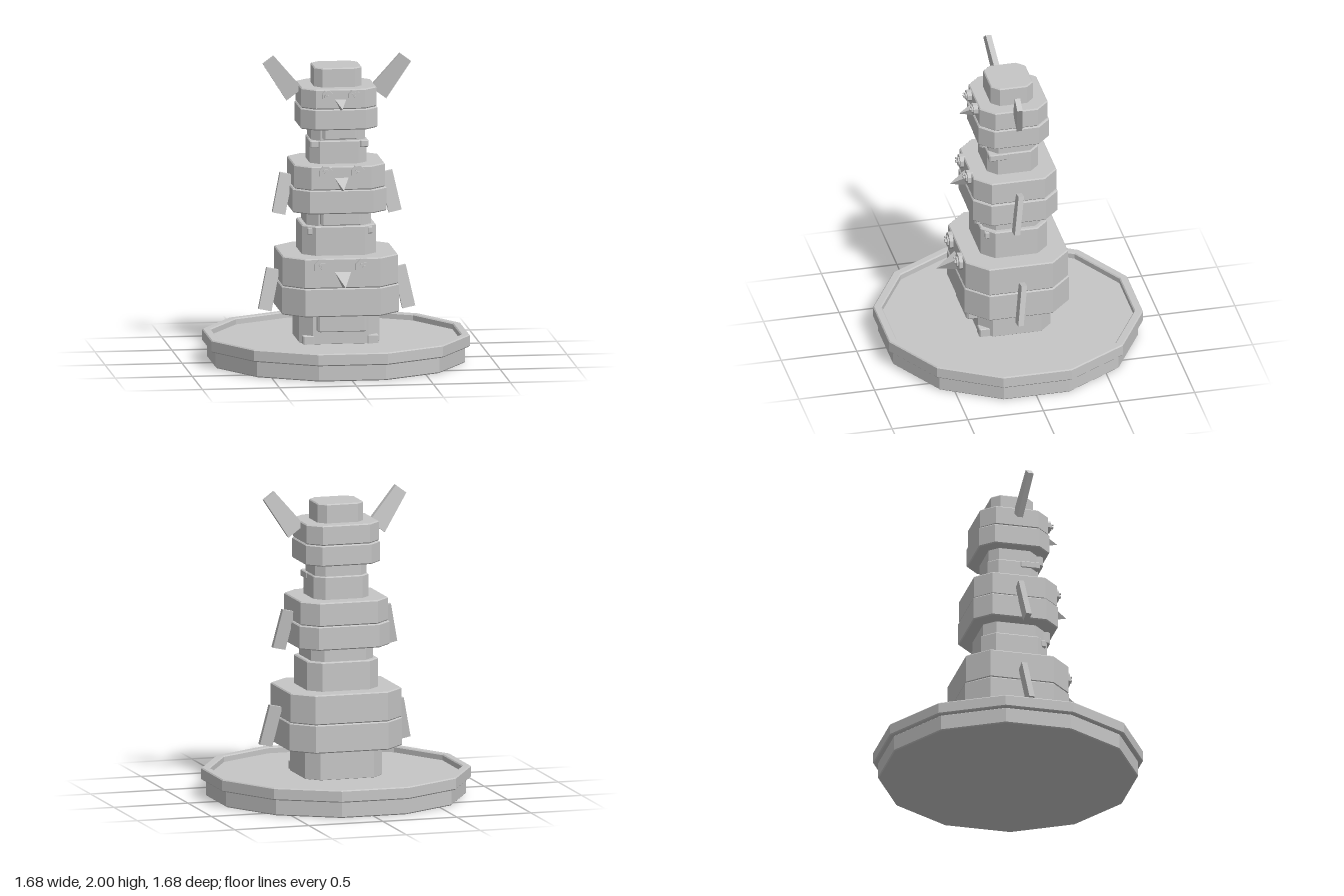
import * as THREE from 'three';

const stone = new THREE.MeshStandardMaterial({ color: 0xc6c6c6 });
stone.name = 'stone grey';

function add(parent, name, geometry) {
  const mesh = new THREE.Mesh(geometry, stone);
  mesh.name = name;
  parent.add(mesh);
  return mesh;
}

// Upright prism from y0 to y1 with a small bevel; points are the outer outline
function prism(shape, y0, y1, bevel = 0.007) {
  const g = new THREE.ExtrudeGeometry(shape, {
    depth: y1 - y0 - 2 * bevel, bevelEnabled: true, bevelSize: bevel,
    bevelThickness: bevel, bevelOffset: -bevel, bevelSegments: 1,
  });
  return g.rotateX(-Math.PI / 2).translate(0, y0 + bevel, 0);
}

// Rectangle with cut corners
function octagon(x, z, c) {
  return new THREE.Shape([
    [x, z - c], [x - c, z], [c - x, z], [-x, z - c],
    [-x, c - z], [c - x, -z], [x - c, -z], [x, c - z],
  ].map(([a, b]) => new THREE.Vector2(a, b)));
}

// Twelve-sided outline with flat sides on the axes
function dodecagon(apothem) {
  const r = apothem / Math.cos(Math.PI / 12);
  return Array.from({ length: 12 }, (_, i) => {
    const a = (i + 0.5) * Math.PI / 6;
    return new THREE.Vector2(r * Math.cos(a), r * Math.sin(a));
  });
}

function block(parent, name, x, z, c, y0, y1) {
  return add(parent, name, prism(octagon(x, z, c), y0, y1));
}

function box(parent, name, [x0, x1], [y0, y1], [z0, z1], c = 0.008) {
  const mesh = add(parent, name, prism(octagon((x1 - x0) / 2, (z1 - z0) / 2, c), y0, y1, 0.005));
  mesh.position.set((x0 + x1) / 2, 0, (z0 + z1) / 2);
  return mesh;
}

// Slanted board between two centre points [x, y, z], with a width at each end
function board(parent, name, top, bottom, wTop, wBottom, side) {
  const g = new THREE.BoxGeometry(1, 1, 0.036);
  const p = g.attributes.position;
  const dir = new THREE.Vector2(top[0] - bottom[0], top[1] - bottom[1]).normalize();
  for (let i = 0; i < p.count; i++) {
    const t = p.getY(i) + 0.5;
    const u = p.getX(i) * side * THREE.MathUtils.lerp(wBottom, wTop, t);
    const [x, y, z] = bottom.map((b, k) => THREE.MathUtils.lerp(b, top[k], t));
    p.setXYZ(i, side * (x + dir.y * u), y - dir.x * u, z + p.getZ(i));
  }
  g.computeVertexNormals();
  add(parent, name, g);
}

// Three-sided beak with a flat top
function beak(parent, w, yTop, yLow, zBack, yTip, zTip) {
  const a = [-w, yTop, zBack], b = [w, yTop, zBack], c = [0, yLow, zBack], t = [0, yTip, zTip];
  const g = new THREE.BufferGeometry();
  g.setAttribute('position', new THREE.Float32BufferAttribute(
    [a, t, b, a, c, t, c, b, t, a, b, c].flat(), 3));
  g.computeVertexNormals();
  add(parent, 'beak', g);
}

// Round eye: rim, iris and small studs
function eye(parent, x, y, z, r) {
  const group = new THREE.Group();
  group.name = 'eye';
  group.position.set(x, y, z);
  const disc = (name, radius, z0, z1, sides, dx = 0, dy = 0) => {
    const g = new THREE.CylinderGeometry(radius, radius, z1 - z0, sides).toNonIndexed();
    g.rotateY(Math.PI / sides).rotateX(Math.PI / 2).translate(dx, dy, (z0 + z1) / 2);
    g.computeVertexNormals();
    add(group, name, g);
  };
  disc('eyeRim', r, -0.02, 0.02, 8);
  disc('iris', r * 0.6, 0.015, 0.03, 8);
  disc('pupil', r * 0.25, 0.025, 0.042, 6);
  disc('glint', r * 0.14, 0.025, 0.04, 6, -r * 0.32, r * 0.32);
  parent.add(group);
}

const tiers = [
  {
    name: 'lowerFigure',
    necks: [[0.26, 0.24, 0.08, 0.14, 0.35]],
    head: [[0.38, 0.345, 0.135, 0.34, 0.525], [0.375, 0.34, 0.13, 0.525, 0.72]],
    chin: [0.16, 0.235, 0.35, 0.31],
    foot: [[0.17, 0.245], [0.14, 0.2], [0.17, 0.245]],
    eye: [0.135, 0.665, 0.345, 0.057],
    beak: [0.055, 0.635, 0.525, 0.335, 0.55, 0.475],
    board: [[0.41, 0.605, -0.003], [0.467, 0.343, 0.033], 0.085, 0.085],
  },
  {
    name: 'middleFigure',
    necks: [[0.24, 0.22, 0.08, 0.71, 0.91], [0.21, 0.2, 0.07, 0.9, 1.01]],
    head: [[0.305, 0.28, 0.1, 1.0, 1.155], [0.295, 0.275, 0.1, 1.155, 1.31]],
    chin: [0.13, 0.92, 1.01, 0.25],
    foot: [[0.175, 0.212], [0.855, 0.9], [0.165, 0.202]],
    eye: [0.105, 1.27, 0.28, 0.047],
    beak: [0.048, 1.24, 1.15, 0.268, 1.17, 0.387],
    board: [[0.323, 1.225, -0.003], [0.378, 0.972, 0.035], 0.085, 0.085],
  },
  {
    name: 'upperFigure',
    necks: [[0.185, 0.168, 0.06, 1.3, 1.46], [0.175, 0.158, 0.055, 1.45, 1.55]],
    head: [[0.25, 0.233, 0.085, 1.54, 1.675], [0.245, 0.225, 0.085, 1.675, 1.805]],
    chin: [0.11, 1.475, 1.55, 0.21],
    foot: [[0.135, 0.19], [1.415, 1.46], [0.035, 0.168]],
    eye: [0.087, 1.765, 0.235, 0.038],
    beak: [0.038, 1.74, 1.665, 0.222, 1.69, 0.325],
    board: [[0.445, 1.975, 0.033], [0.272, 1.742, 0.0], 0.088, 0.13],
  },
];

export function createModel() {
  const model = new THREE.Group();
  model.name = 'totemPole';

  // Plinth with a raised rim
  const base = new THREE.Group();
  base.name = 'base';
  model.add(base);
  add(base, 'baseFoot', prism(new THREE.Shape(dodecagon(0.81)), 0, 0.11));
  add(base, 'baseFloor', prism(new THREE.Shape(dodecagon(0.8)), 0.1, 0.145));
  const rim = new THREE.Shape(dodecagon(0.84));
  rim.holes.push(new THREE.Path(dodecagon(0.785).reverse()));
  add(base, 'baseRim', prism(rim, 0.105, 0.185));

  // Stacked figures
  for (const t of tiers) {
    const figure = new THREE.Group();
    figure.name = t.name;
    model.add(figure);
    t.necks.forEach((n) => block(figure, 'body', ...n));
    block(figure, 'jaw', ...t.head[0]);
    block(figure, 'brow', ...t.head[1]);
    const [cw, c0, c1, cz] = t.chin;
    box(figure, 'chinPlate', [-cw, cw], [c0, c1], [0.05, cz], 0.015);
    beak(figure, ...t.beak);
    for (const s of [1, -1]) {
      const [fx, fy, fz] = t.foot;
      box(figure, 'foot', s > 0 ? fx : [-fx[1], -fx[0]], fy, fz);
      eye(figure, s * t.eye[0], ...t.eye.slice(1));
      board(figure, t.name === 'upperFigure' ? 'ear' : 'wing', ...t.board, s);
    }
  }

  // Cap on the topmost head
  block(model, 'cap', 0.155, 0.14, 0.05, 1.795, 1.93);
  return model;
}
